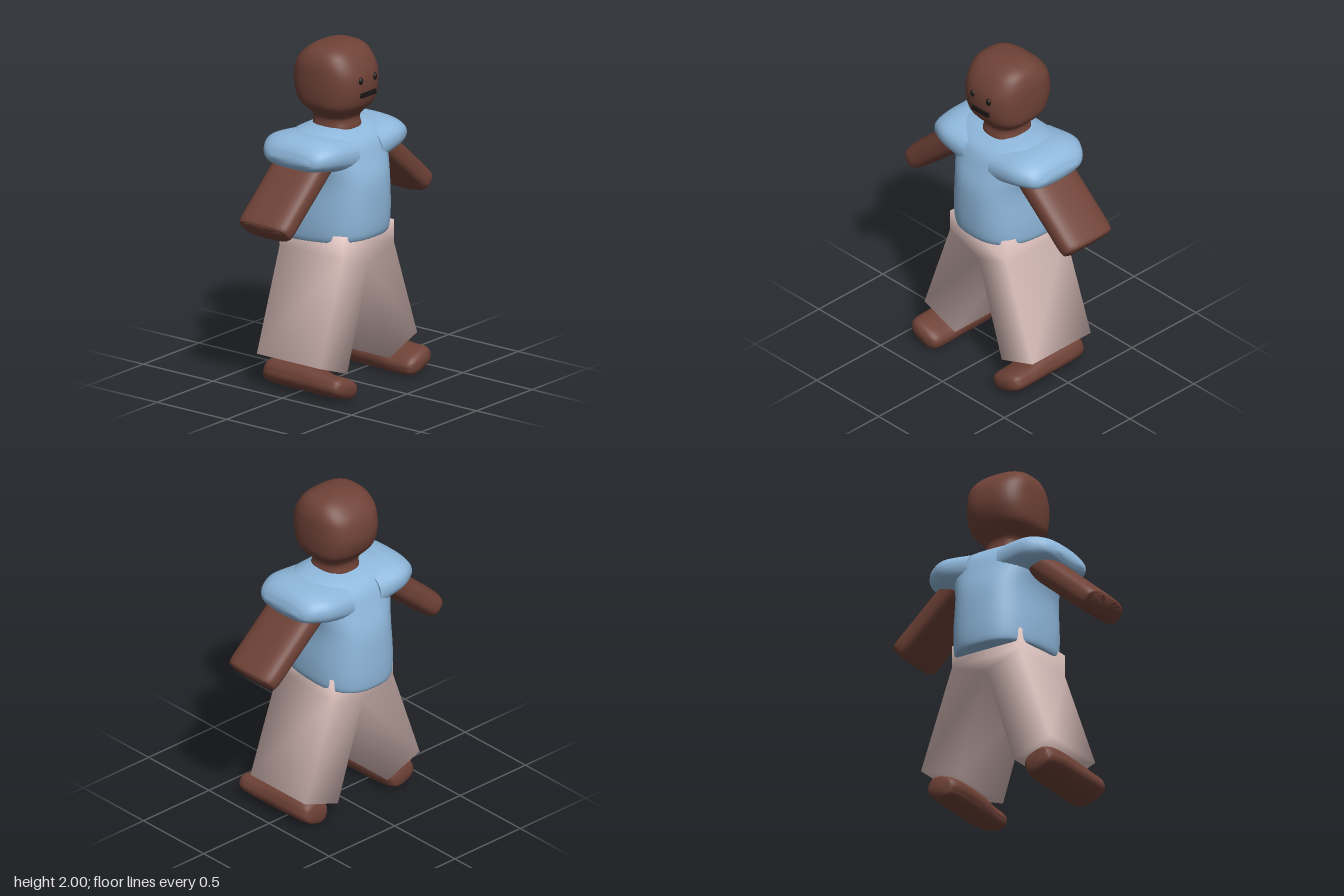
import * as THREE from 'three';
import { mergeVertices, toCreasedNormals } from 'three/addons/utils/BufferGeometryUtils.js';

const material = (color) => new THREE.MeshStandardMaterial({ color });

// Closed loft along y. Sections: [y, half width, front z, back z, centre x]; n is the squareness.
function loft(sections, { n = 2.5, rings = 28, sides = 40, tilt = 0, crease = 0.9 } = {}) {
  const spline = (k) => new THREE.CatmullRomCurve3(
    sections.map((s) => new THREE.Vector3(s[0], s[1], s[k] ?? 0)), false, 'catmullrom', 0.5);
  const front = spline(2), back = spline(3), middle = spline(4);
  const pos = [], index = [];
  const bend = (v) => Math.sign(v) * Math.abs(v) ** (2 / n);
  for (let i = 0; i <= rings; i++) {
    const t = i / rings;
    const f = front.getPoint(t), zB = back.getPoint(t).z, cx = middle.getPoint(t).z;
    const cz = (f.z + zB) / 2, rz = (f.z - zB) / 2;
    for (let j = 0; j < sides; j++) {
      const a = (j / sides) * Math.PI * 2;
      const z = cz + rz * bend(Math.sin(a));
      pos.push(cx + f.y * bend(Math.cos(a)), f.x + tilt * (1 - t) * z, z);
      if (i < rings) {
        const p = i * sides + j, q = i * sides + (j + 1) % sides;
        index.push(p, p + sides, q, q, p + sides, q + sides);
      }
    }
  }
  // End caps
  const last = rings * sides, centre = (rings + 1) * sides;
  for (const s of [sections[0], sections[sections.length - 1]]) {
    pos.push(s[4] ?? 0, s[0], (s[2] + s[3]) / 2);
  }
  for (let j = 0; j < sides; j++) {
    const k = (j + 1) % sides;
    index.push(centre, j, k, centre + 1, last + k, last + j);
  }
  const geo = new THREE.BufferGeometry();
  geo.setAttribute('position', new THREE.Float32BufferAttribute(pos, 3));
  geo.setIndex(index);
  return toCreasedNormals(geo, crease);
}

export function createModel() {
  const model = new THREE.Group();
  const skin = material(0x6f4237), cloth = material(0x8fb8dc);
  const trouserCloth = material(0xdbbfbb), black = material(0x1a1614);

  const add = (name, geo, mat, parent = model) => {
    const mesh = new THREE.Mesh(geo, mat);
    mesh.name = name;
    parent.add(mesh);
    return mesh;
  };

  // Head and neck in one piece
  add('headAndNeck', loft([
    [1.42, 0.13, 0.13, -0.14], [1.5, 0.122, 0.125, -0.135], [1.55, 0.115, 0.115, -0.13],
    [1.585, 0.135, 0.135, -0.145], [1.615, 0.172, 0.165, -0.172], [1.66, 0.198, 0.195, -0.208],
    [1.74, 0.207, 0.213, -0.235], [1.82, 0.207, 0.212, -0.234], [1.89, 0.2, 0.185, -0.21],
    [1.95, 0.172, 0.14, -0.155], [1.985, 0.115, 0.08, -0.095], [2.0, 0.02, 0.01, -0.02],
  ], { n: 2.7, rings: 55, crease: 1.2 }), skin);

  // Face
  for (const x of [-0.055, 0.071]) {
    const eye = add('eye', new THREE.SphereGeometry(1, 16, 12), black);
    eye.scale.set(0.017, 0.022, 0.016);
    eye.position.set(x, 1.803, 0.207);
  }
  add('mouth', new THREE.BoxGeometry(0.13, 0.027, 0.04), black).position.set(0.009, 1.716, 0.2);

  // Shirt body, its hem lower at the back
  add('shirtBody', loft([
    [0.862, 0.22, 0.24, -0.32], [0.875, 0.25, 0.28, -0.342], [1.0, 0.255, 0.295, -0.348],
    [1.2, 0.248, 0.292, -0.335], [1.33, 0.28, 0.255, -0.295], [1.43, 0.31, 0.215, -0.255],
    [1.485, 0.29, 0.15, -0.19], [1.512, 0.2, 0.09, -0.11],
  ], { n: 2.6, tilt: 0.09 }), cloth);

  // Trousers: one outline, extruded front to back with softened normals
  const outline = [[0, 0.705], [0.19, 0.11], [0.44, 0.2], [0.23, 0.79], [0.23, 0.92],
    [-0.23, 0.92], [-0.23, 0.79], [-0.435, 0.2], [-0.19, 0.11]];
  let trousers = new THREE.ExtrudeGeometry(
    new THREE.Shape(outline.map(([x, y]) => new THREE.Vector2(x, y))),
    { depth: 0.455, bevelEnabled: false });
  trousers.translate(0, 0, -0.235);
  trousers.deleteAttribute('normal');
  trousers.deleteAttribute('uv');
  trousers = mergeVertices(trousers);
  trousers.computeVertexNormals();
  add('trousers', trousers, trouserCloth);

  // Limbs, built for the left and mirrored for the right
  const sleeveGeo = loft([
    [0.1, 0.12, 0.24, -0.28, -1.37], [0.27, 0.105, 0.235, -0.285, -1.395],
    [0.36, 0.085, 0.205, -0.245, -1.395], [0.405, 0.058, 0.17, -0.2, -1.386],
    [0.425, 0.02, 0.12, -0.14, -1.38],
  ]);
  sleeveGeo.rotateZ(-Math.PI / 2);

  const armGeo = loft([
    [0, 0.062, 0.13, -0.155], [0.03, 0.074, 0.163, -0.188],
    [0.2, 0.077, 0.165, -0.19], [0.5, 0.08, 0.165, -0.19],
  ], { n: 3 });

  const footGeo = loft([
    [-0.22, 0.05, 0.035, -0.03], [-0.2, 0.088, 0.06, -0.07], [-0.1, 0.11, 0.066, -0.085],
    [0.1, 0.112, 0.068, -0.08], [0.2, 0.113, 0.068, -0.06], [0.3, 0.11, 0.065, -0.055],
    [0.335, 0.09, 0.052, -0.042], [0.35, 0.05, 0.03, -0.022],
  ], { crease: 1.2 });
  footGeo.rotateX(Math.PI / 2);

  for (const [side, sign] of [['left', 1], ['right', -1]]) {
    const limbs = new THREE.Group();
    limbs.name = side + 'Limbs';
    limbs.scale.x = sign;
    add(side + 'Sleeve', sleeveGeo, cloth, limbs);
    const arm = add(side + 'Arm', armGeo, skin, limbs);
    arm.position.set(0.652, 1.015, 0);
    arm.rotation.z = 0.855;
    const foot = add(side + 'Foot', footGeo, skin, limbs);
    foot.position.set(0.33, 0.081, 0);
    foot.rotation.z = 0.35;
    model.add(limbs);
  }
  return model;
}
